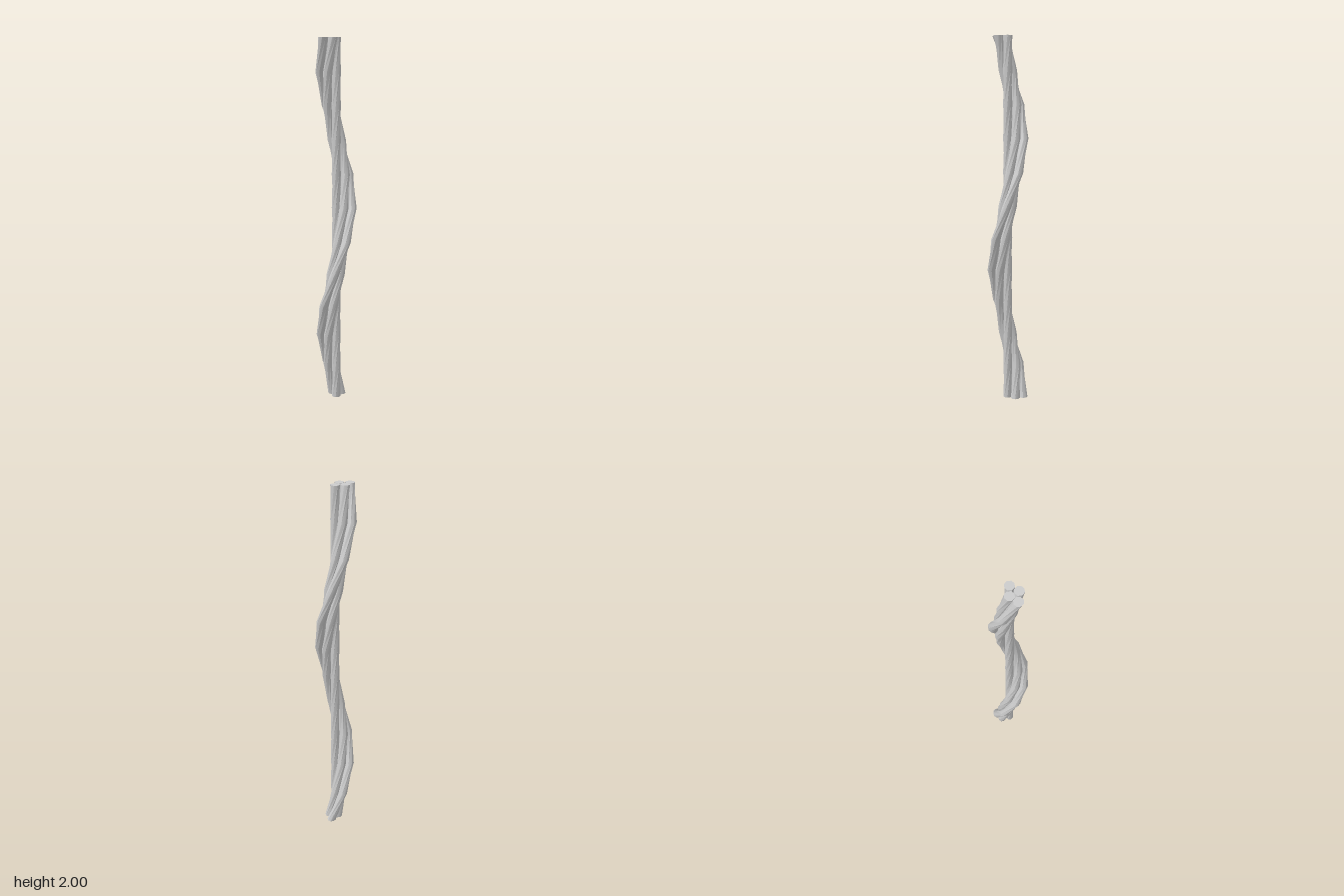
import * as THREE from 'three';
import { toCreasedNormals } from 'three/addons/utils/BufferGeometryUtils.js';

const HEIGHT = 2, RADIUS = 0.025, SIDES = 8, STEPS = 11;
const rad = THREE.MathUtils.degToRad;

// One strand: an octagonal rod set off the axis, then twisted 45 degrees per step
function strandGeometry(distance, topAngle) {
  const geo = new THREE.CylinderGeometry(RADIUS, RADIUS, HEIGHT, SIDES, STEPS);
  geo.translate(distance * Math.cos(rad(topAngle)), HEIGHT / 2, distance * Math.sin(rad(topAngle)));
  const pos = geo.attributes.position;
  for (let i = 0; i < pos.count; i++) {
    const x = pos.getX(i), y = pos.getY(i), z = pos.getZ(i);
    const turn = rad((1 - y / HEIGHT) * 45 * STEPS);
    const c = Math.cos(turn), s = Math.sin(turn);
    pos.setXYZ(i, x * c - z * s, y, x * s + z * c);
  }
  // Smooth round the rod, sharp at the end caps
  return toCreasedNormals(geo, rad(60));
}

export function createModel() {
  const model = new THREE.Group();
  model.name = 'twistedStrands';
  const material = new THREE.MeshStandardMaterial({ color: 0xcccccc });

  // name, distance from the axis, angle at the top (from +x towards +z)
  const strands = [
    ['coreStrand', 0, 0],
    ['innerStrandA', 0.05, 162],
    ['innerStrandB', 0.05, 102],
    ['outerStrand', 0.087, 135],
  ];
  const bundle = new THREE.Group();
  bundle.name = 'strandBundle';
  for (const [name, distance, angle] of strands) {
    const mesh = new THREE.Mesh(strandGeometry(distance, angle), material);
    mesh.name = name;
    bundle.add(mesh);
  }
  bundle.rotation.y = rad(2.5);
  bundle.position.set(-0.001, 0, -0.001);
  model.add(bundle);
  return model;
}
